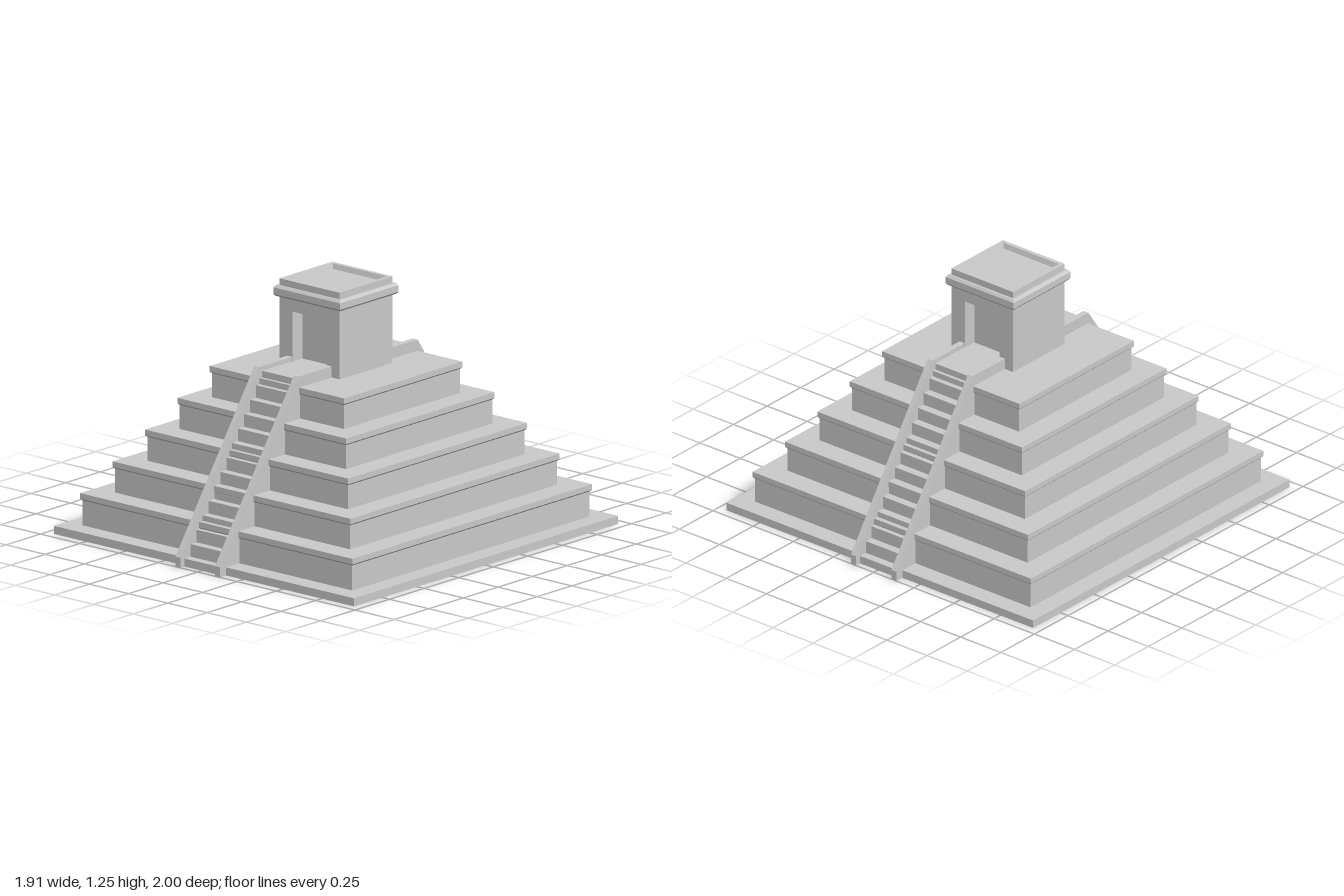
import * as THREE from 'three';

const stone = new THREE.MeshStandardMaterial({ color: 0xcccccc, flatShading: true });

function part(name, geometry, parent) {
  const mesh = new THREE.Mesh(geometry, stone);
  mesh.name = name;
  parent.add(mesh);
  return mesh;
}

// Square solid from a [half width, height] profile, listed bottom to top
function squareSolid(profile) {
  const pts = profile.map(([h, y]) => new THREE.Vector2(h * Math.SQRT2, y));
  const g = new THREE.LatheGeometry(pts, 4, Math.PI / 4).toNonIndexed();
  g.computeVertexNormals();
  return g;
}

// Side outline of [z, y] points, extruded across x from x0 to x1
function sideSolid(outline, x0, x1) {
  const shape = new THREE.Shape(outline.map(([z, y]) => new THREE.Vector2(z, y)));
  return new THREE.ExtrudeGeometry(shape, { depth: x1 - x0, bevelEnabled: false })
    .rotateY(-Math.PI / 2).translate(x1, 0, 0);
}

function createStaircase(name) {
  const stair = new THREE.Group();
  stair.name = name;

  // Steps and the landing that runs into the doorway
  const rise = 0.0625, run = 0.0431, count = 14;
  const steps = [[0.12, 0], [0.97, 0]];
  for (let i = 0; i < count; i++) {
    const z = 0.97 - i * run, y = 0.04 + i * rise;
    steps.push([z, y], [i < count - 1 ? z - run : 0.12, y]);
  }
  part('steps', sideSolid(steps, -0.11, 0.11), stair);

  // Sloping side walls
  const wall = [[0.18, 0], [1, 0], [1, 0.05], [0.43, 0.875], [0.18, 0.875]];
  part('leftBalustrade', sideSolid(wall, 0.11, 0.141), stair);
  part('rightBalustrade', sideSolid(wall, -0.141, -0.11), stair);
  return stair;
}

function createTemple() {
  const temple = new THREE.Group();
  temple.name = 'temple';

  // Walls: square plan with a door recess at front and back
  const w = 0.192, d = 0.107, r = 0.122;
  const plan = [[-w, -w], [-d, -w], [-d, -r], [d, -r], [d, -w], [w, -w],
    [w, w], [d, w], [d, r], [-d, r], [-d, w], [-w, w]];
  const shape = new THREE.Shape(plan.map(([x, z]) => new THREE.Vector2(x, z)));
  const walls = new THREE.ExtrudeGeometry(shape, { depth: 0.28, bevelEnabled: false })
    .rotateX(-Math.PI / 2).translate(0, 0.82, 0);
  part('templeWalls', walls, temple);

  // Lintel, chamfered cornice and sunken roof
  part('templeRoof', squareSolid([
    [0, 1.1], [w, 1.1], [w, 1.163], [0.205, 1.163], [0.212, 1.172], [0.212, 1.205],
    [0.203, 1.217], [w, 1.217], [w, 1.25], [0.172, 1.25], [0.164, 1.225], [0, 1.225],
  ]), temple);
  return temple;
}

export function createModel() {
  const model = new THREE.Group();
  model.name = 'steppedPyramid';

  part('base', squareSolid([[0, 0], [0.955, 0], [0.955, 0.04], [0, 0.04]]), model);

  // Five tiers, each with a slightly overhanging ledge
  for (let i = 0; i < 5; i++) {
    const half = 0.866 - i * 0.1097;
    const top = 0.2 + i * 0.155;
    const bottom = i === 0 ? 0.04 : top - 0.155;
    part(`tier${i + 1}`, squareSolid([
      [0, bottom], [half - 0.008, bottom], [half - 0.008, top - 0.036],
      [half, top - 0.028], [half, top], [0, top],
    ]), model);
  }

  const back = createStaircase('backStaircase');
  back.rotation.y = Math.PI;
  model.add(createStaircase('frontStaircase'), back, createTemple());
  return model;
}
